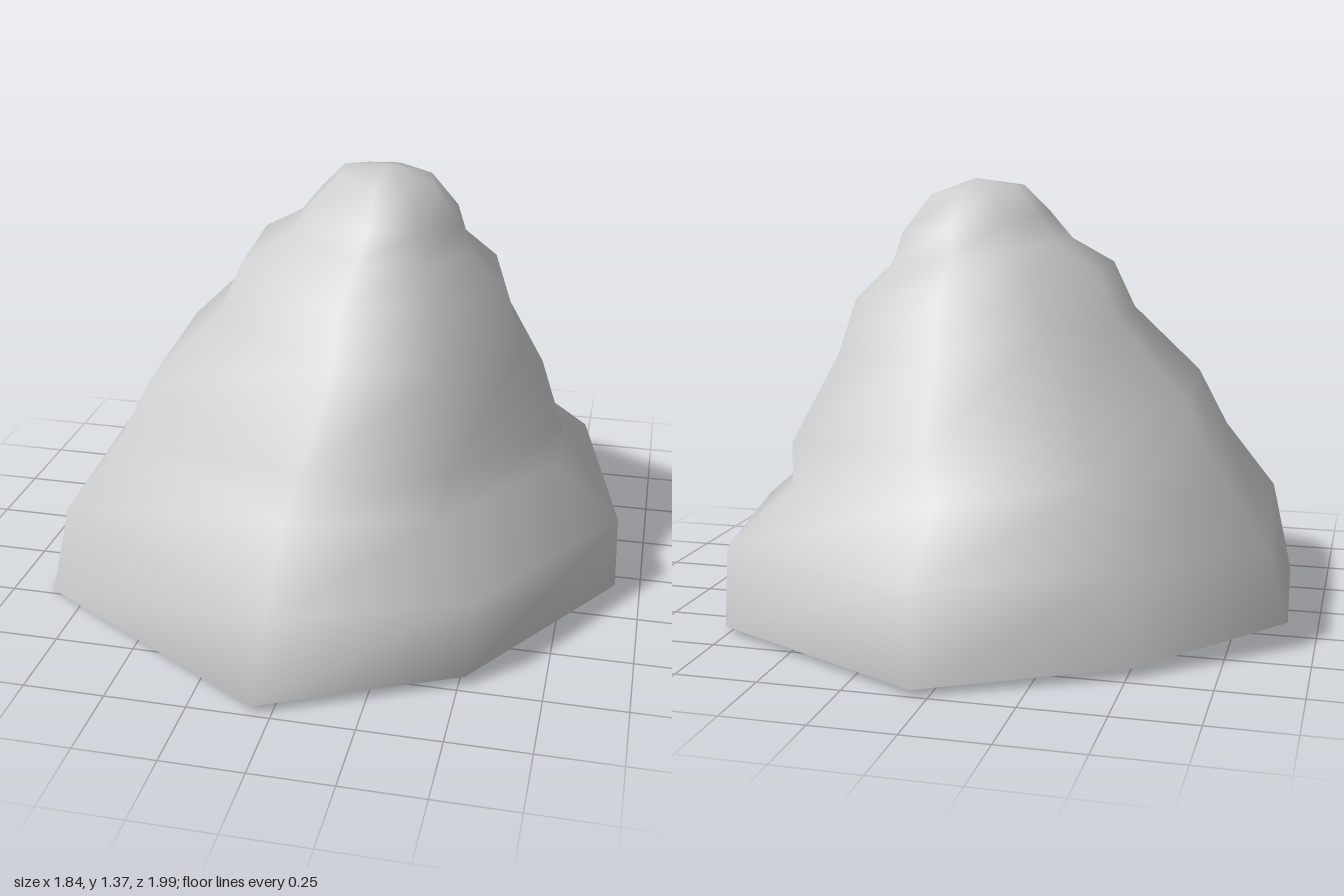
import * as THREE from 'three';

// Irregular eight-sided outline (x, z) and the uneven height of the bottom rim
const outline = [
  [0.05, -1], [0.76, -0.64], [0.92, 0.08], [0.52, 0.72],
  [-0.06, 0.99], [-0.87, 0.48], [-0.92, -0.36], [-0.52, -0.71],
];
const rimHeights = [0.02, 0.02, 0.015, 0.03, 0.025, 0, 0.08, 0.03];

// Rings above the rim: scale, centre x, height at the centre, slope along x
const rings = [
  [0.96, 0.03, 0.28, -0.023],
  [0.76, 0.015, 0.48, -0.075],
  [0.71, 0.065, 0.635, -0.128],
  [0.515, 0.105, 0.875, -0.134],
  [0.445, 0.11, 1.04, -0.12],
  [0.31, 0.12, 1.135, -0.12],
  [0.255, 0.14, 1.225, -0.13],
  [0.16, 0.135, 1.328, -0.1],
];
const apex = [0.14, 1.365, 0.01];

// Smooth open shell lofted through the tilted rings and closed at the apex
function moundGeometry() {
  const n = outline.length;
  const positions = [];
  const indices = [];
  outline.forEach(([x, z], j) => positions.push(x, rimHeights[j], z));
  for (const [scale, cx, height, slope] of rings) {
    for (const [x, z] of outline) {
      positions.push(cx + x * scale, height + slope * x * scale, z * scale + 0.005);
    }
  }
  positions.push(...apex);

  for (let i = 0; i < rings.length; i++) {
    for (let j = 0; j < n; j++) {
      const a = i * n + j;
      const b = i * n + (j + 1) % n;
      indices.push(a, a + n, b, b, a + n, b + n);
    }
  }
  const last = rings.length * n;
  for (let j = 0; j < n; j++) {
    indices.push(last + j, last + n, last + (j + 1) % n);
  }

  const geometry = new THREE.BufferGeometry();
  geometry.setAttribute('position', new THREE.Float32BufferAttribute(positions, 3));
  geometry.setIndex(indices);
  geometry.computeVertexNormals();
  return geometry;
}

export function createModel() {
  const stone = new THREE.MeshStandardMaterial({ color: 0xcccccc, side: THREE.DoubleSide });
  stone.name = 'light grey stone';

  const group = new THREE.Group();
  group.name = 'rockMound';
  const shell = new THREE.Mesh(moundGeometry(), stone);
  shell.name = 'moundShell';
  group.add(shell);
  return group;
}
